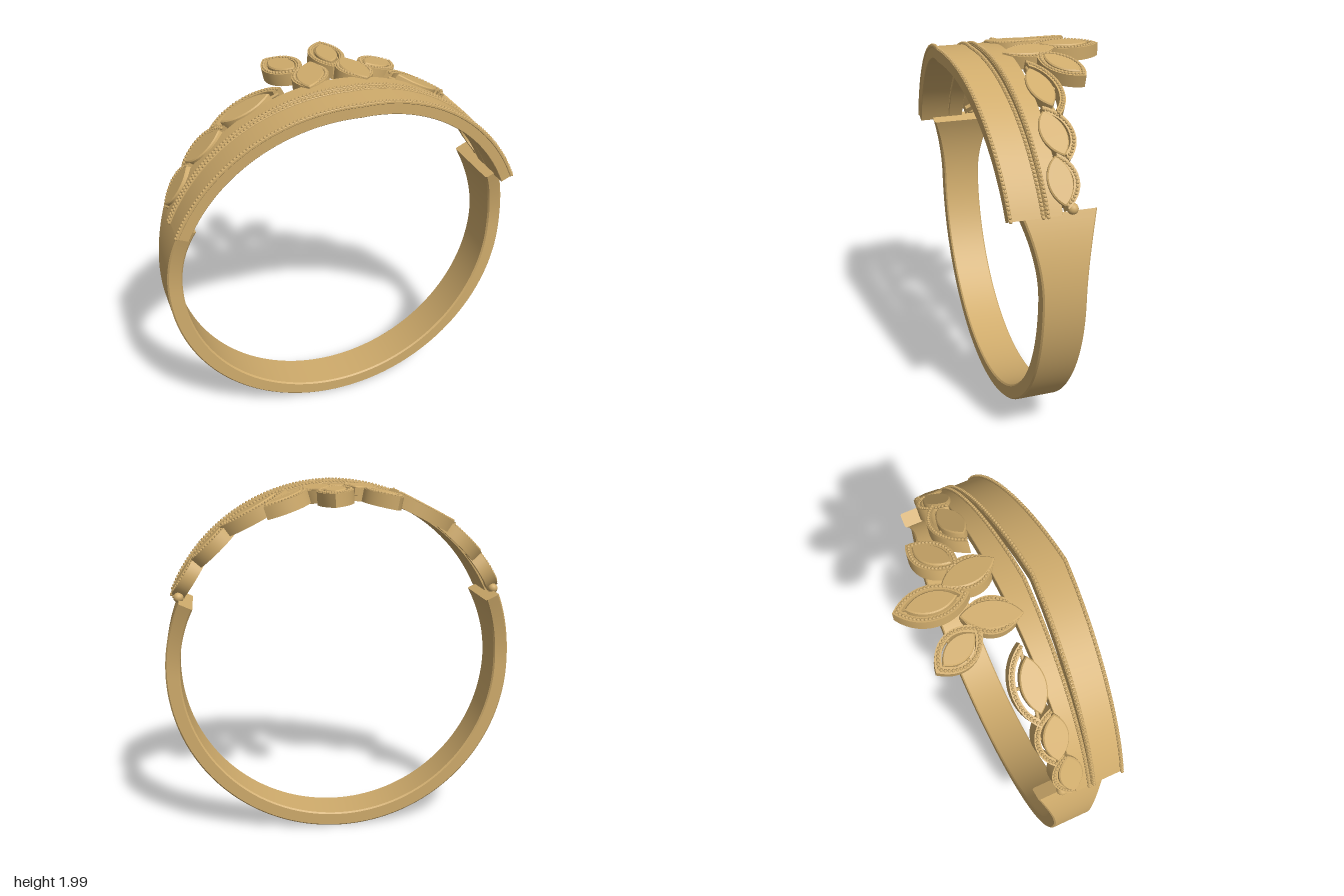
import * as THREE from 'three';
import { mergeGeometries, toCreasedNormals } from 'three/addons/utils/BufferGeometryUtils.js';

const CY = 0.975;                 // height of the ring axis
const RAD = Math.PI / 180;
const gold = new THREE.MeshStandardMaterial({ color: 0xd0ac6c });

function mesh(geometry, name) {
  const m = new THREE.Mesh(geometry, gold);
  m.name = name;
  return m;
}

// Point on the ring: angle a is measured from the top towards +x
const onRing = (r, a, z) => new THREE.Vector3(r * Math.sin(a), CY + r * Math.cos(a), z);

// Sweeps a convex section of [radius, z] points around the ring, with end caps
function sweep(a0, a1, steps, section) {
  const pos = [], index = [];
  let n = 0;
  for (let j = 0; j <= steps; j++) {
    const a = a0 + (a1 - a0) * j / steps;
    const pts = section(a);
    n = pts.length;
    for (const [r, z] of pts) pos.push(...onRing(r, a, z).toArray());
  }
  for (let j = 0; j < steps; j++) {
    for (let i = 0; i < n; i++) {
      const p = j * n + i, q = j * n + (i + 1) % n;
      index.push(p, q, p + n, q, q + n, p + n);
    }
  }
  const e = steps * n;
  for (let i = 1; i < n - 1; i++) index.push(0, i + 1, i, e, e + i, e + i + 1);
  const g = new THREE.BufferGeometry();
  g.setAttribute('position', new THREE.Float32BufferAttribute(pos, 3));
  g.setIndex(index);
  return toCreasedNormals(g, 0.5);
}

// Rectangular section, chamfered by c
function block(r0, r1, z0, z1, c) {
  return [[r0 + c, z0], [r1 - c, z0], [r1, z0 + c], [r1, z1 - c],
    [r1 - c, z1], [r0 + c, z1], [r0, z1 - c], [r0, z0 + c]];
}

// Row of small beads
function beads(points, radius) {
  return mergeGeometries(points.map((p) =>
    new THREE.SphereGeometry(radius, 6, 4).translate(p.x, p.y, p.z)));
}

// Half of a pointed oval, from base to tip (or back)
function halfLeaf(path, w, l, side, up = 1) {
  path.bezierCurveTo(side * w * 0.667, -up * l * 0.25, side * w * 0.667, up * l * 0.25, 0, up * l / 2);
  return path;
}

function leafOutline(PathType, w, l) {
  const p = new PathType();
  p.moveTo(0, -l / 2);
  halfLeaf(p, w, l, 1);
  return halfLeaf(p, w, l, -1, -1);
}

// Extrudes a flat shape radially outwards; shape +y points to the back
function raise(shape, y0, y1, bevel = 0) {
  const g = new THREE.ExtrudeGeometry(shape, {
    depth: y1 - y0 - 2 * bevel, curveSegments: 14, bevelEnabled: bevel > 0,
    bevelThickness: bevel, bevelSize: bevel, bevelOffset: -bevel, bevelSegments: 1,
  });
  return toCreasedNormals(g.rotateX(-Math.PI / 2).translate(0, y0 + bevel, 0), 0.5);
}

// A leaf: beaded rim (whole, or a crescent on one side) around a marquise plate
function leaf(name, { a, z, turn, w, l, sw, sl, side = 0, shift = 0 }) {
  const group = new THREE.Group();
  group.name = name;
  group.position.copy(onRing(1, a * RAD, z));
  group.rotation.set(0, turn * RAD, -a * RAD, 'ZYX');

  let rim, track;
  if (side) {
    rim = new THREE.Shape();
    rim.moveTo(0, -l / 2);
    halfLeaf(rim, w, l, side);
    rim.lineTo(0, l / 2 - 0.045);
    rim.bezierCurveTo(side * (w - 0.06) * 0.667, l * 0.22, side * (w - 0.06) * 0.667, -l * 0.22, 0, -l / 2 + 0.045);
    rim.closePath();
    track = new THREE.Path().moveTo(0, -l / 2 + 0.02);
    halfLeaf(track, w - 0.028, l - 0.04, side);
  } else {
    rim = leafOutline(THREE.Shape, w, l);
    rim.holes.push(leafOutline(THREE.Path, w - 0.056, l - 0.085));
    track = leafOutline(THREE.Path, w - 0.028, l - 0.042);
  }
  group.add(mesh(raise(rim, -0.06, 0.008), 'leafRim'));

  const dots = track.getSpacedPoints(Math.round(track.getLength() / 0.018));
  group.add(mesh(beads(dots.map((p) => new THREE.Vector3(p.x, 0.009, -p.y)), 0.009), 'leafBeads'));

  // marquise plate, sitting slightly proud of the rim
  const plate = mesh(raise(leafOutline(THREE.Shape, sw, sl), -0.035, 0.018, 0.006), 'leafPlate');
  plate.position.x = shift;
  group.add(plate);

  // thin struts joining plate and rim
  const reach = side ? w / 2 - 0.015 : w - 0.03;
  const across = new THREE.CylinderGeometry(0.009, 0.009, reach, 6).rotateZ(Math.PI / 2);
  group.add(mesh(across.translate(side * reach / 2, -0.02, 0), 'leafStrut'));
  const along = new THREE.CylinderGeometry(0.009, 0.009, l - 0.05, 6).rotateX(Math.PI / 2);
  group.add(mesh(along.translate(0, -0.02, 0), 'leafStrut'));
  return group;
}

export function createModel() {
  const model = new THREE.Group();
  model.name = 'leafRing';

  // Shank, flaring in width towards its two open ends
  model.add(mesh(sweep(65 * RAD, 295 * RAD, 96, (a) => {
    const t = Math.max(0, (Math.cos(a) + 0.02) / 0.443);
    const half = 0.111 + 0.075 * Math.pow(t, 1.9);
    return block(0.89, 0.97, 0.07 - half, 0.07 + half, 0.008);
  }), 'shank'));

  // Crown of two bands with a slit that opens towards the middle
  const END = 66 * RAD;
  const mid = (a) => 1 - Math.abs(Math.sin(a)) / Math.sin(END);
  const slitBack = (a) => 0.155 + 0.05 * mid(a);
  const slitFront = (a) => 0.157 + 0.072 * mid(a);
  const frontEdge = (a) => 0.33 + 0.085 * mid(a);
  model.add(mesh(sweep(-END, END, 72, (a) => block(0.94, 1.003, 0.07, slitBack(a), 0.003)), 'backBand'));
  model.add(mesh(sweep(-END, END, 72, (a) => block(0.94, 1.003, slitFront(a), frontEdge(a), 0.003)), 'frontBand'));

  // Beaded rails along the band edges
  const rails = [
    ['slitBackRail', (a) => slitBack(a) - 0.011],
    ['slitFrontRail', (a) => slitFront(a) + 0.011],
    ['frontRail', (a) => frontEdge(a) - 0.005],
  ];
  for (const [name, zAt] of rails) {
    model.add(mesh(sweep(-END, END, 72, (a) => block(0.995, 1.01, zAt(a) - 0.009, zAt(a) + 0.009, 0.003)), name));
    const row = [];
    for (let i = 0; i <= 120; i++) {
      const a = END * (i / 60 - 1);
      row.push(onRing(1.009, a, zAt(a)));
    }
    model.add(mesh(beads(row, 0.009), name + 'Beads'));
  }

  // Central spray of leaves
  const spray = [
    { a: -11.3, z: -0.225, turn: 23, w: 0.19, l: 0.3, sw: 0.115, sl: 0.21 },
    { a: 3.4, z: -0.25, turn: -8, w: 0.19, l: 0.37, sw: 0.115, sl: 0.25 },
    { a: 17.5, z: -0.145, turn: -56, w: 0.18, l: 0.31, sw: 0.115, sl: 0.23 },
    { a: 7.6, z: -0.03, turn: 6, w: 0.19, l: 0.28, sw: 0.14, sl: 0.29 },
    { a: -6.2, z: -0.02, turn: -20, w: 0.19, l: 0.29, sw: 0.14, sl: 0.3 },
  ];
  spray.forEach((s) => model.add(leaf('sprayLeaf', s)));

  // Three leaves running down each shoulder, and an end bead
  const shoulder = [
    { a: 27.5, z: 0.015, turn: 97, w: 0.2, l: 0.41, sw: 0.125, sl: 0.28 },
    { a: 43.5, z: 0.03, turn: 101, w: 0.19, l: 0.31, sw: 0.13, sl: 0.25 },
    { a: 57, z: 0.05, turn: 92, w: 0.17, l: 0.27, sw: 0.125, sl: 0.24 },
  ];
  for (const s of [1, -1]) {
    for (const p of shoulder) {
      model.add(leaf('shoulderLeaf', { ...p, a: s * p.a, turn: s * p.turn, side: s, shift: -s * 0.012 }));
    }
    const ball = mesh(new THREE.SphereGeometry(0.028, 16, 12), 'endBead');
    ball.position.copy(onRing(0.975, s * 64.5 * RAD, 0.01));
    model.add(ball);
  }
  return model;
}
